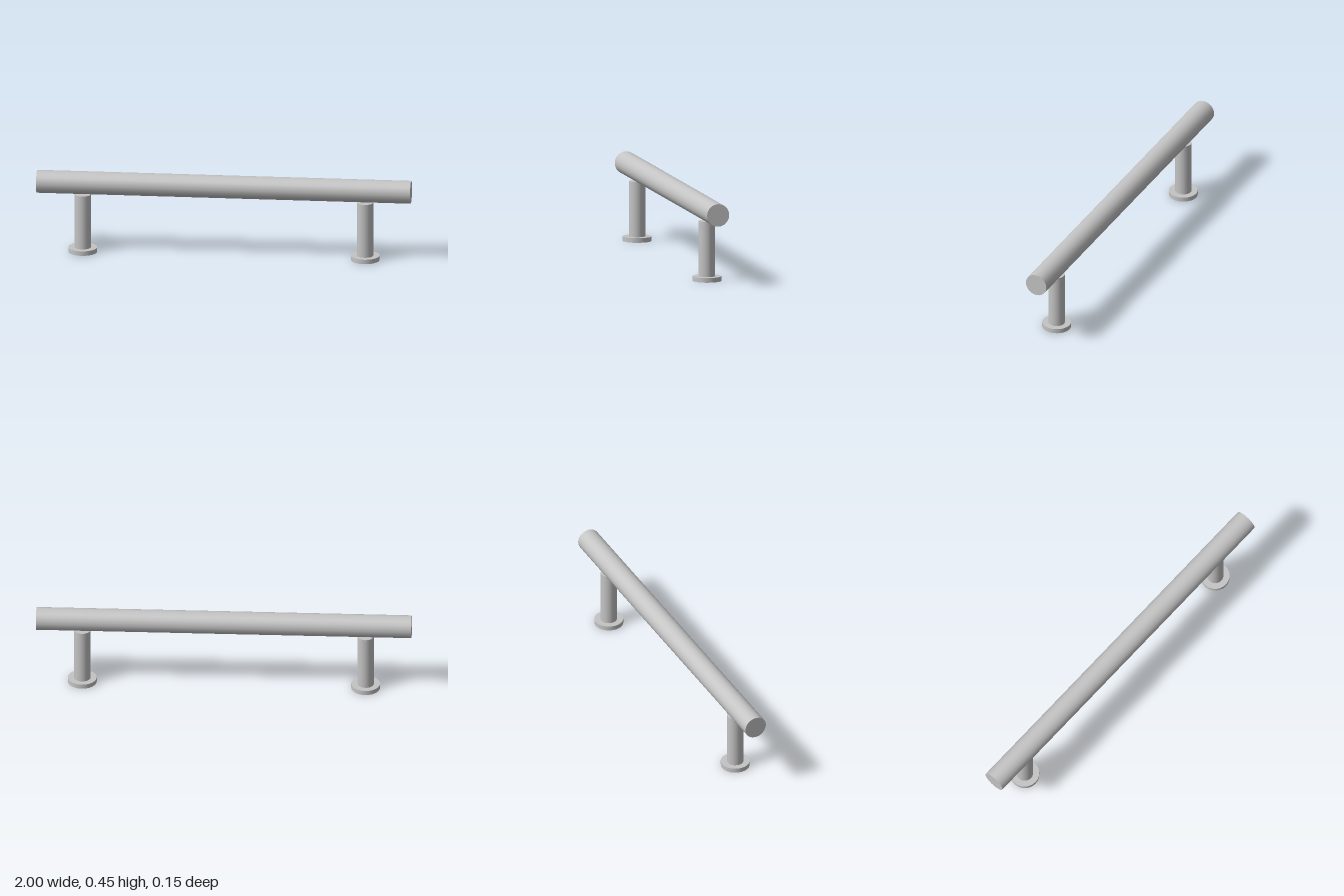
import * as THREE from 'three';

export function createModel() {
  const group = new THREE.Group();
  const metal = new THREE.MeshStandardMaterial({ color: 0xc4c4c4 });
  metal.name = 'brushed metal';

  const add = (name, geometry, x, y) => {
    const mesh = new THREE.Mesh(geometry, metal);
    mesh.name = name;
    mesh.position.set(x, y, 0);
    group.add(mesh);
  };

  // Horizontal grip bar
  const bar = new THREE.CylinderGeometry(0.061, 0.061, 2, 20).rotateZ(Math.PI / 2);
  add('gripBar', bar, 0, 0.386);

  // Standing posts with round mounting flanges
  const post = new THREE.CylinderGeometry(0.044, 0.044, 0.297, 24);
  const flange = new THREE.CylinderGeometry(0.077, 0.077, 0.025, 24);
  for (const [side, s] of [['left', 1], ['right', -1]]) {
    add(side + 'Post', post, s * 0.755, 0.1735);
    add(side + 'Flange', flange, s * 0.755, 0.0125);
  }
  return group;
}
